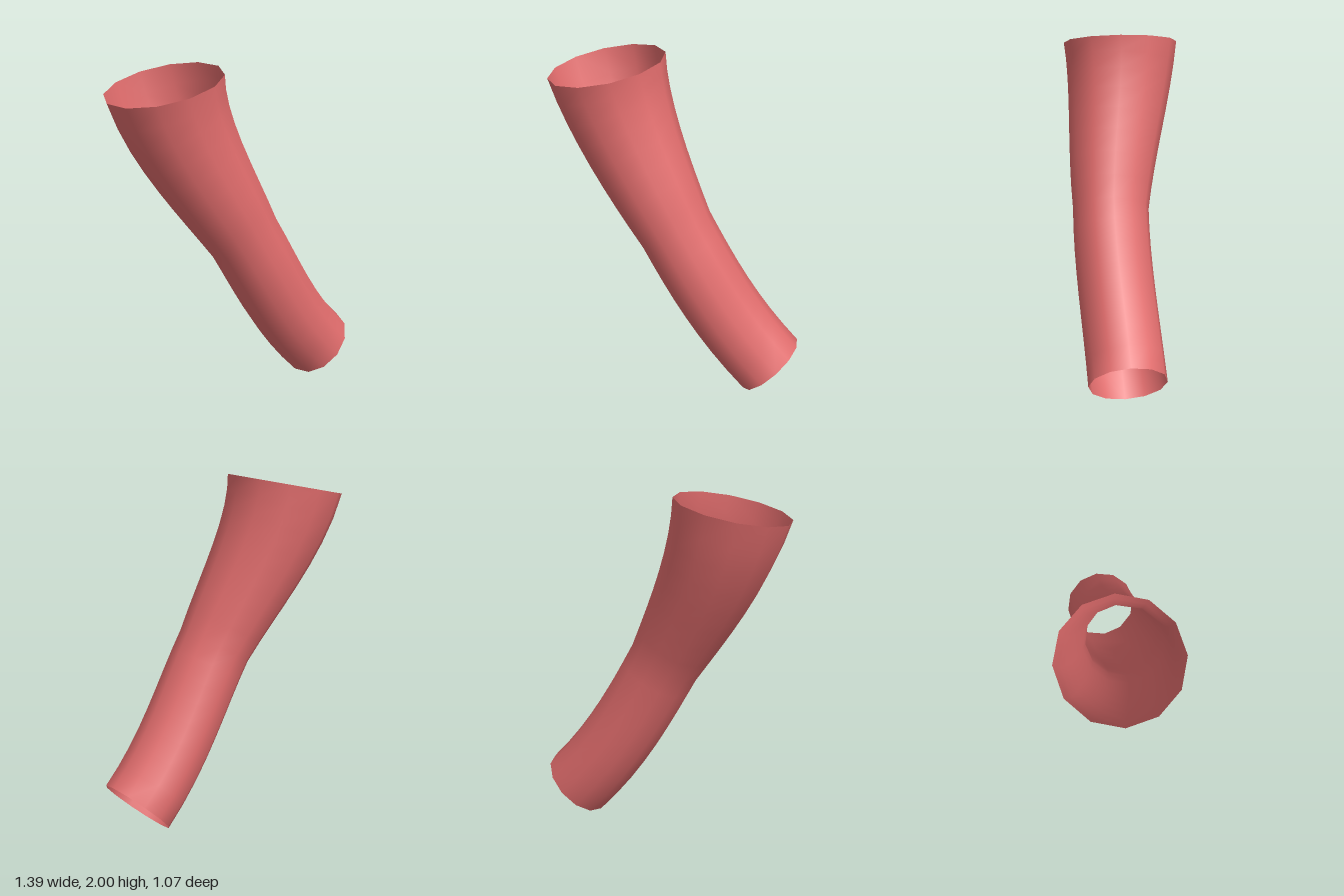
import * as THREE from 'three';

const SIDES = 12;
const RINGS_PER_HALF = 8;
const v = (x, y, z) => new THREE.Vector3(x, y, z);

// Open tube of varying radius, swept along a curve
function taperedTube(curve, radiusAt, rings, phaseAt) {
  const positions = [];
  const indices = [];
  for (let i = 0; i <= rings; i++) {
    const t = i / rings;
    const centre = curve.getPoint(t);
    const axis = curve.getTangent(t);
    const across = v(1, 0, 0).projectOnPlane(axis).normalize();
    const depth = axis.clone().cross(across);
    for (let j = 0; j < SIDES; j++) {
      const a = (j / SIDES) * Math.PI * 2 + phaseAt(t);
      const p = centre.clone()
        .addScaledVector(across, Math.cos(a) * radiusAt(t))
        .addScaledVector(depth, Math.sin(a) * radiusAt(t));
      positions.push(p.x, p.y, p.z);
      if (i === rings) continue;
      const k = (j + 1) % SIDES;
      const low = i * SIDES, high = low + SIDES;
      indices.push(low + j, low + k, high + k, low + j, high + k, high + j);
    }
  }
  const geometry = new THREE.BufferGeometry();
  geometry.setAttribute('position', new THREE.Float32BufferAttribute(positions, 3));
  geometry.setIndex(indices);
  geometry.computeVertexNormals();
  return geometry;
}

export function createModel() {
  const group = new THREE.Group();
  group.name = 'sleeve';

  // Centre line: lower half leans outward, upper half straightens up
  const lower = new THREE.CubicBezierCurve3(
    v(0.508, 0.157, -0.335), v(0.284, 0.441, -0.167), v(0.192, 0.726, -0.055), v(0.05, 1.01, 0.03));
  const upper = new THREE.CubicBezierCurve3(
    v(0.05, 1.01, 0.03), v(-0.103, 1.317, 0.118), v(-0.315, 1.623, 0.166), v(-0.37, 1.93, 0.202));
  const spine = {
    getPoint: (t) => (t <= 0.5 ? lower.getPoint(t * 2) : upper.getPoint(t * 2 - 1)),
    getTangent: (t) => (t <= 0.5 ? lower.getTangent(t * 2) : upper.getTangent(t * 2 - 1)),
  };

  // Even width below the middle, widening steadily to the top opening
  const radiusAt = (t) => 0.22 + 0.117 * Math.max(0, t * 2 - 1);
  const phaseAt = (t) => (1 - t) * (Math.PI / SIDES);

  const tube = new THREE.Mesh(
    taperedTube(spine, radiusAt, RINGS_PER_HALF * 2, phaseAt),
    new THREE.MeshStandardMaterial({ color: 0xe06c6c, side: THREE.DoubleSide }));
  tube.name = 'sleeveTube';
  group.add(tube);
  return group;
}
